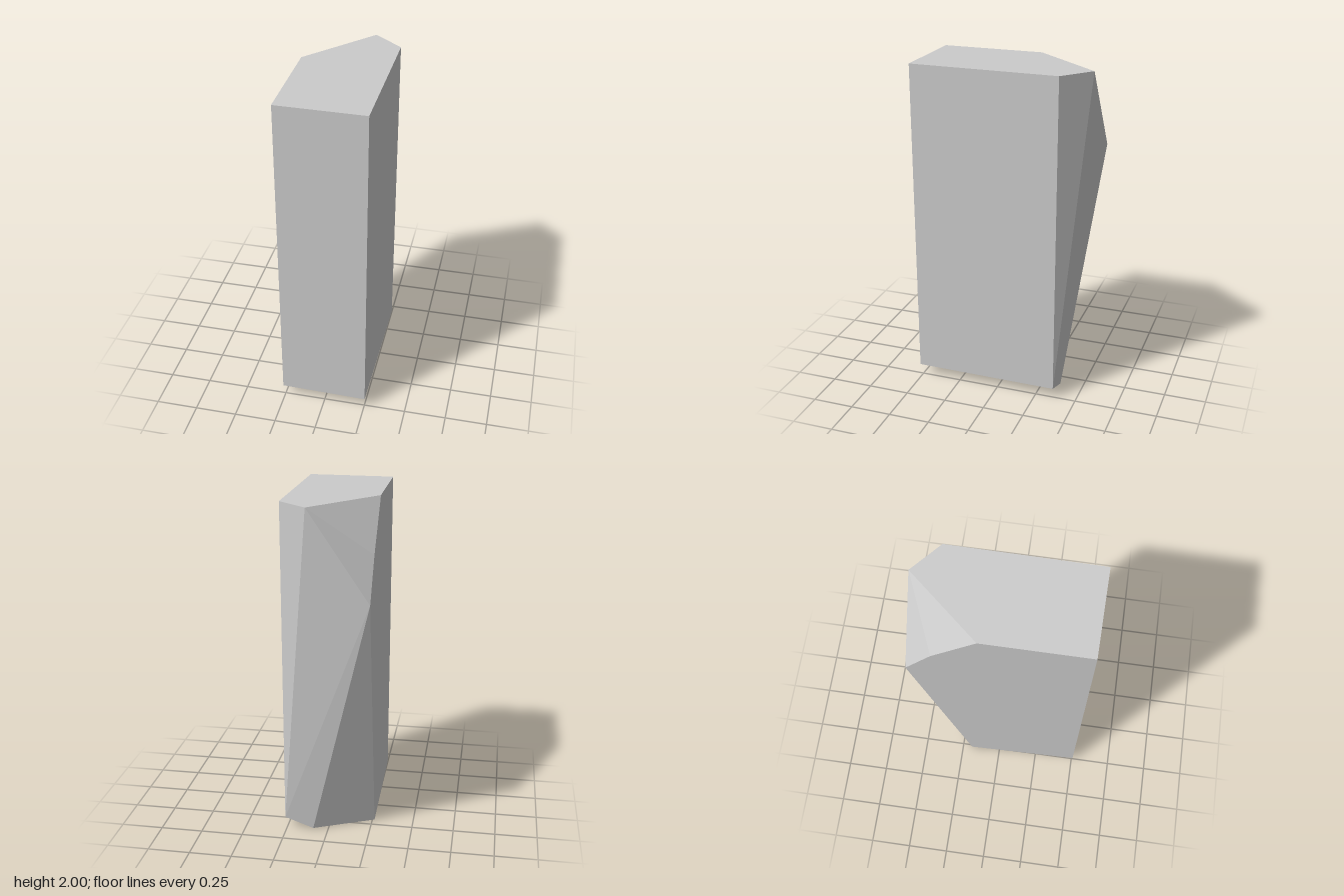
import * as THREE from 'three';
import { ConvexGeometry } from 'three/addons/geometries/ConvexGeometry.js';

export function createModel() {
  const group = new THREE.Group();
  group.name = 'stonePillar';

  const corners = [
    // flat top, clipped at both rear corners
    [-0.263, 2, 0.506], [0.254, 2, 0.517], [0.262, 2, -0.365], [0.09, 2, -0.515], [-0.263, 2, -0.105],
    // rear bevel running down to the back ridge
    [-0.263, 1.72, -0.362], [-0.263, 1.48, -0.518],
    // rim of the underside
    [-0.263, 0.065, 0.506], [0.254, 0.065, 0.517], [0.262, 0.065, -0.362],
    // lowest edge
    [0.09, 0.004, -0.361], [-0.263, 0, -0.19],
  ].map((p) => new THREE.Vector3(...p));

  // faceted block: the hull of its corners
  const block = new THREE.Mesh(
    new ConvexGeometry(corners),
    new THREE.MeshStandardMaterial({ color: 0xcccccc, flatShading: true })
  );
  block.name = 'chippedStoneBlock';
  group.add(block);
  return group;
}
